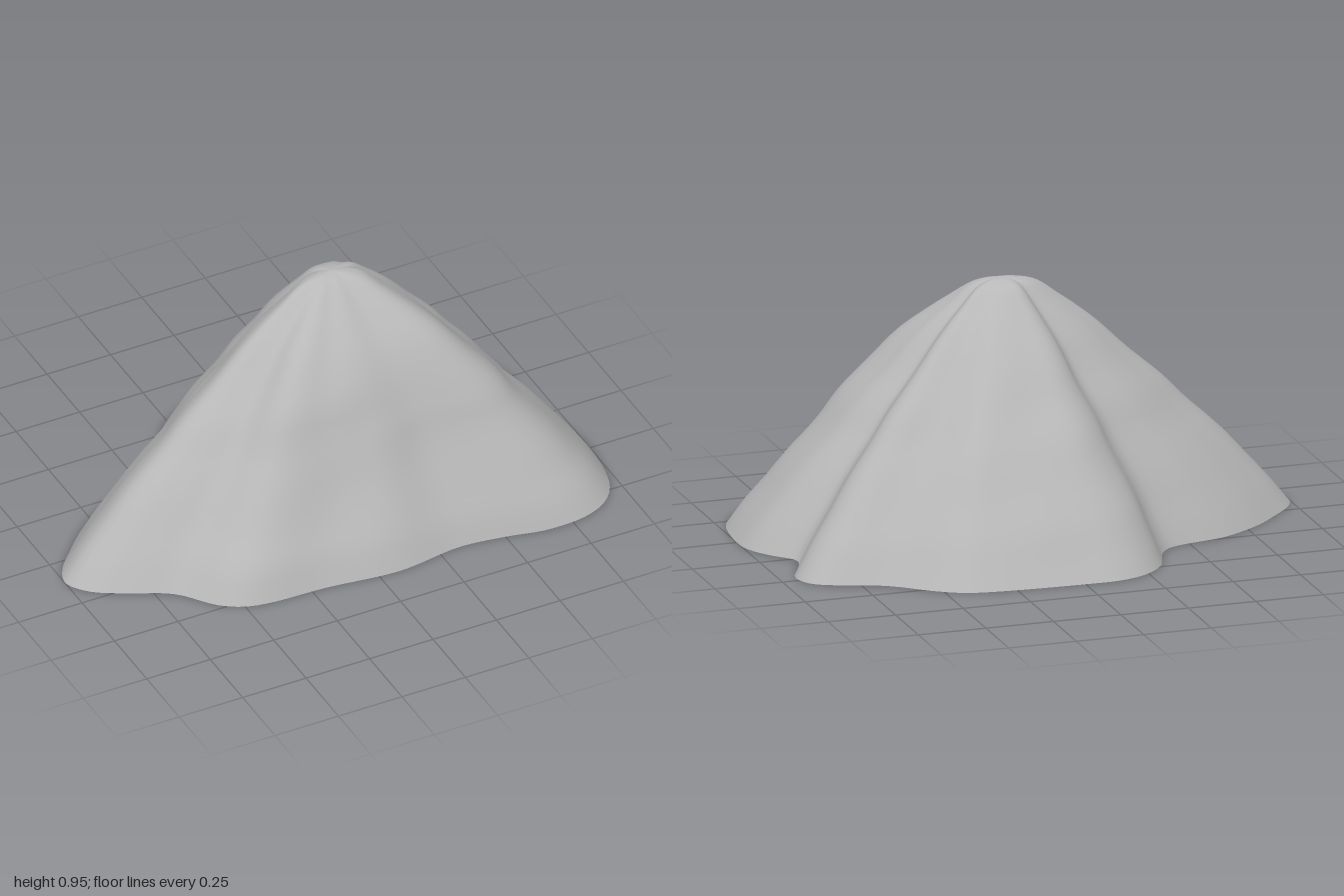
import * as THREE from 'three';

// Ridged foot of the mountain, counter-clockwise from above: [x, z]
const OUTLINE = [
  [-1, 0.12], [-0.95, 0.2], [-0.84, 0.27], [-0.69, 0.35], [-0.58, 0.48], [-0.5, 0.53], [-0.41, 0.55],
  [-0.2, 0.56], [0.08, 0.59], [0.33, 0.56], [0.5, 0.58], [0.65, 0.61], [0.81, 0.6], [0.91, 0.55],
  [0.97, 0.46], [1, 0.25], [0.99, 0.16], [0.94, 0.07], [0.87, -0.02], [0.89, -0.1], [0.94, -0.21],
  [0.92, -0.29], [0.87, -0.33], [0.67, -0.41], [0.52, -0.53], [0.43, -0.58], [0.32, -0.6], [0, -0.615],
  [-0.14, -0.61], [-0.24, -0.57], [-0.32, -0.49], [-0.38, -0.34], [-0.43, -0.29], [-0.63, -0.24],
  [-0.71, -0.2], [-0.81, -0.13], [-0.9, -0.04], [-0.97, 0.04],
];

// Slope profile: [height, reach on the general slope, reach on the fuller front slope]
const PROFILE = [
  [0.95, 0, 0], [0.943, 0.06, 0.05], [0.925, 0.118, 0.105], [0.865, 0.195, 0.215], [0.82, 0.25, 0.29],
  [0.73, 0.35, 0.42], [0.6, 0.475, 0.55], [0.5, 0.575, 0.62], [0.4, 0.665, 0.685], [0.2, 0.845, 0.845],
  [0.1, 0.925, 0.935], [0, 1, 1],
];
const APEX = { x: 0.09, z: 0.04 };

function slopeGeometry(around = 160, rows = 36) {
  const foot = new THREE.CatmullRomCurve3(OUTLINE.map(([x, z]) => new THREE.Vector3(x, 0, z)), true);
  const profile = new THREE.CatmullRomCurve3(PROFILE.map(([y, r, f]) => new THREE.Vector3(r, y, f)));
  const rim = foot.getSpacedPoints(around).slice(0, around);
  const positions = [APEX.x, PROFILE[0][0], APEX.z];
  const index = [];

  for (let j = 1; j <= rows; j++) {
    const p = profile.getPoint(j / rows);
    rim.forEach((q) => {
      const dx = q.x - APEX.x, dz = q.z - APEX.z;
      const front = THREE.MathUtils.smoothstep(dz / Math.hypot(dx, dz), 0.2, 0.8);
      const angle = Math.atan2(dz, dx);
      // gentle weathering that fades at the peak and at the foot
      const wear = 1 + 0.05 * p.x * (1 - p.x) * Math.sin(5 * angle + 17 * p.y) * Math.cos(3 * angle - 9 * p.y);
      const reach = THREE.MathUtils.lerp(p.x, p.z, front) * wear;
      positions.push(APEX.x + dx * reach, Math.max(0, p.y), APEX.z + dz * reach);
    });
  }

  for (let i = 0; i < around; i++) {
    const n = (i + 1) % around;
    index.push(0, 1 + i, 1 + n);
    for (let j = 0; j < rows - 1; j++) {
      const a = 1 + j * around, b = a + around;
      index.push(a + i, b + i, b + n, a + i, b + n, a + n);
    }
  }

  const geometry = new THREE.BufferGeometry();
  geometry.setAttribute('position', new THREE.Float32BufferAttribute(positions, 3));
  geometry.setIndex(index);
  geometry.computeVertexNormals();
  return geometry;
}

export function createModel() {
  const model = new THREE.Group();
  model.name = 'mountain';
  const stone = new THREE.MeshStandardMaterial({ color: 0xb8b8b8, side: THREE.DoubleSide });
  stone.name = 'stone grey';

  // Hollow shell, open underneath
  const slopes = new THREE.Mesh(slopeGeometry(), stone);
  slopes.name = 'mountainSlopes';
  model.add(slopes);
  return model;
}
